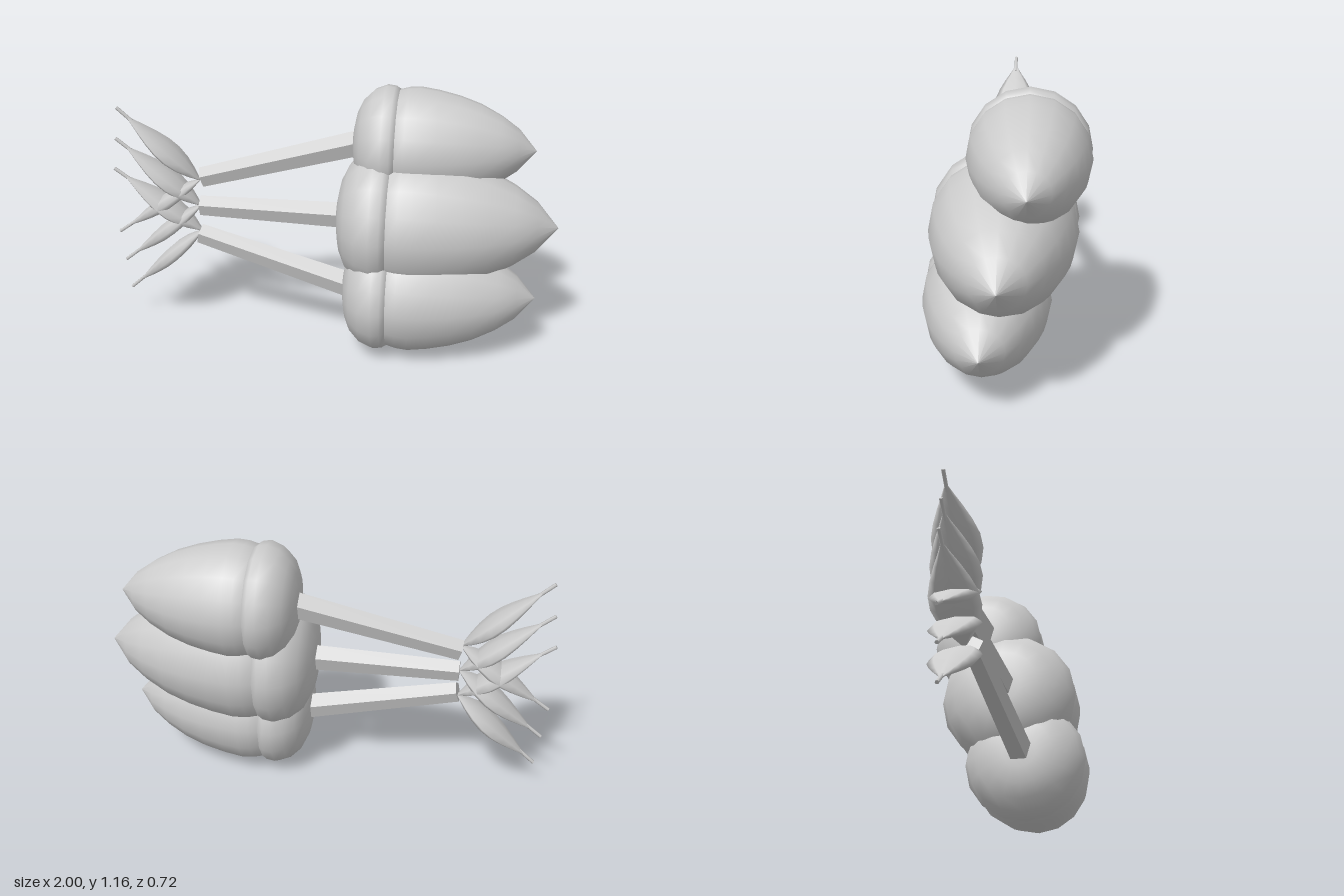
import * as THREE from 'three';

const X = new THREE.Vector3(1, 0, 0);

// Revolve [x, radius] points around the x axis
function revolve(points, sides) {
  const geo = new THREE.LatheGeometry(points.map(([x, r]) => new THREE.Vector2(r, x)), sides);
  return geo.rotateZ(-Math.PI / 2);
}

export function createModel() {
  const grey = new THREE.MeshStandardMaterial({ color: 0xcccccc });
  const stemGrey = grey.clone();
  grey.name = 'light grey';
  stemGrey.name = 'light grey faceted';
  stemGrey.flatShading = true;

  // Profiles in units of the acorn radius, measured from the cap rim
  const capGeo = revolve([[-0.74, 0], [-0.74, 0.28], [-0.69, 0.53], [-0.59, 0.75], [-0.42, 0.92],
    [-0.22, 1], [-0.08, 0.98], [0, 0.93], [0.01, 0.85]], 16);
  const nutGeo = revolve([[-0.1, 0.86], [0, 0.93], [0.15, 0.97], [0.34, 0.985], [0.65, 0.94], [1.0, 0.86],
    [1.35, 0.74], [1.7, 0.56], [2.0, 0.35], [2.3, 0]], 16);

  // Leaf blade of unit length, ending in a thin stub
  const leafGeo = revolve([[0, 0], [0.01, 0.012], [0.12, 0.055], [0.22, 0.085], [0.34, 0.103], [0.46, 0.1],
    [0.58, 0.08], [0.7, 0.052], [0.8, 0.025], [0.86, 0.01]], 8);
  const stubGeo = new THREE.CylinderGeometry(0.008, 0.008, 0.18, 6).rotateZ(-Math.PI / 2).translate(0.91, 0, 0);

  const model = new THREE.Group();
  model.name = 'acornCluster';
  const add = (parent, name, geo, mat = grey) => {
    const mesh = new THREE.Mesh(geo, mat);
    mesh.name = name;
    parent.add(mesh);
    return mesh;
  };

  // rim: cap rim centre, r: radius, base: outer stem end, tips: [x, y] of the leaf ends
  const acorns = [
    { rim: [0.285, 0.908, -0.096], r: 0.261, base: [-0.6, 0.722, -0.035], tips: [[-0.965, 1.045], [-1, 0.44]] },
    { rim: [0.27, 0.597, 0.008], r: 0.317, base: [-0.6, 0.598, 0], tips: [[-0.982, 0.9], [-0.982, 0.295]] },
    { rim: [0.28, 0.284, 0.079], r: 0.279, base: [-0.6, 0.472, 0.03], tips: [[-1, 0.755], [-0.965, 0.15]] },
  ];

  for (const { rim, r, base, tips } of acorns) {
    const acorn = new THREE.Group();
    acorn.name = 'acorn';
    acorn.position.set(...rim);
    acorn.scale.setScalar(r);
    add(acorn, 'cap', capGeo);
    add(acorn, 'nut', nutGeo);
    model.add(acorn);

    // Five-sided stem, one edge up, running into the cap
    const from = new THREE.Vector3(...base);
    const to = new THREE.Vector3(rim[0] - 0.6 * r, rim[1], rim[2]);
    const dir = to.clone().sub(from);
    const stemGeo = new THREE.CylinderGeometry(0.06, 0.047, dir.length(), 5)
      .rotateY(-Math.PI / 2).rotateZ(-Math.PI / 2);
    const stem = add(model, 'stem', stemGeo, stemGrey);
    stem.position.copy(from).add(to).multiplyScalar(0.5);
    stem.quaternion.setFromUnitVectors(X, dir.normalize());

    // Pair of leaves, one up and one down
    for (const [x, y] of tips) {
      const leaf = new THREE.Group();
      leaf.name = 'leaf';
      const dx = x - base[0], dy = y - base[1];
      leaf.position.set(base[0], base[1], 0);
      leaf.rotation.z = Math.atan2(dy, dx);
      leaf.scale.x = Math.hypot(dx, dy);
      add(leaf, 'blade', leafGeo).scale.y = 0.32;
      add(leaf, 'stub', stubGeo);
      model.add(leaf);
    }
  }
  return model;
}
